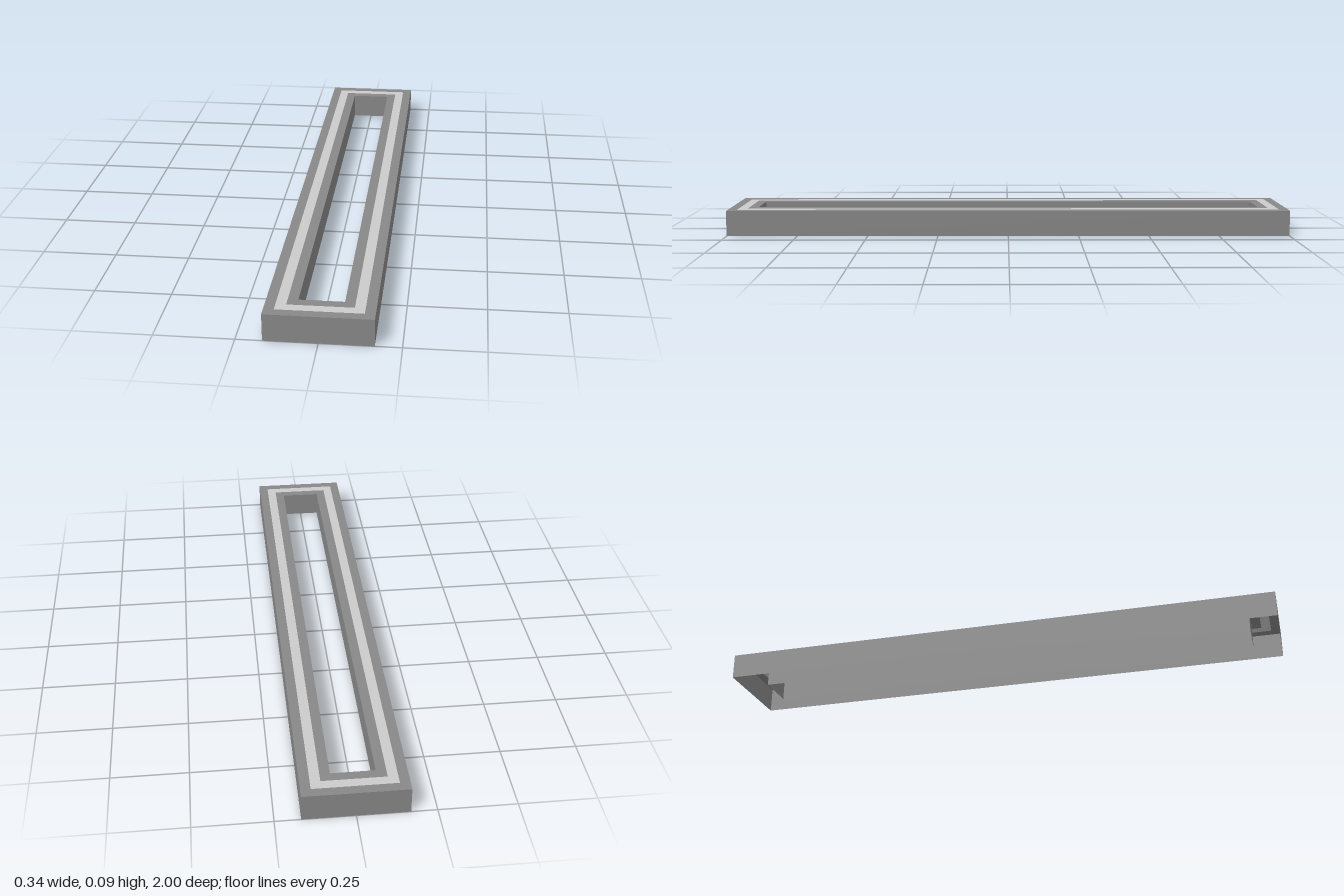
import * as THREE from 'three';

const HALF_X = 0.168, HALF_Z = 1, HEIGHT = 0.09;
const BAND = 0.0325; // the top is three concentric bands of this width

const dark = new THREE.MeshStandardMaterial({ color: 0x888888, side: THREE.DoubleSide, flatShading: true });
const light = new THREE.MeshStandardMaterial({ color: 0xcccccc, side: THREE.DoubleSide, flatShading: true });

// Rectangle corners, inset from the outer edge
function corners(inset) {
  const x = HALF_X - inset, z = HALF_Z - inset;
  return [[-x, -z], [x, -z], [x, z], [-x, z]].map(([a, b]) => new THREE.Vector2(a, b));
}

// Flat rectangular ring lying at the top of the frame
function topBand(name, inset, material) {
  const shape = new THREE.Shape(corners(inset));
  shape.holes.push(new THREE.Path(corners(inset + BAND)));
  const geometry = new THREE.ShapeGeometry(shape).rotateX(-Math.PI / 2).translate(0, HEIGHT, 0);
  const mesh = new THREE.Mesh(geometry, material);
  mesh.name = name;
  return mesh;
}

// Four thin upright walls around a rectangle; facing is 1 outward, -1 inward
function wallLoop(name, inset, facing) {
  const group = new THREE.Group();
  group.name = name;
  const x = HALF_X - inset, z = HALF_Z - inset;
  for (let i = 0; i < 4; i++) {
    const isEnd = i % 2 === 0;
    const geometry = new THREE.PlaneGeometry(2 * (isEnd ? x : z), HEIGHT);
    if (facing < 0) geometry.rotateY(Math.PI);
    geometry.translate(0, HEIGHT / 2, isEnd ? z : x).rotateY(i * Math.PI / 2);
    const wall = new THREE.Mesh(geometry, dark);
    wall.name = isEnd ? 'endWall' : 'sideWall';
    group.add(wall);
  }
  return group;
}

export function createModel() {
  const model = new THREE.Group();
  model.name = 'rectangularFrame';

  // Top face: dark border, pale stripe, dark border
  model.add(
    topBand('outerTopBorder', 0, dark),
    topBand('topStripe', BAND, light),
    topBand('innerTopBorder', 2 * BAND, dark)
  );

  // Walls of the channel, which is open underneath
  model.add(wallLoop('outerWalls', 0, 1), wallLoop('innerWalls', 3 * BAND, -1));
  return model;
}
